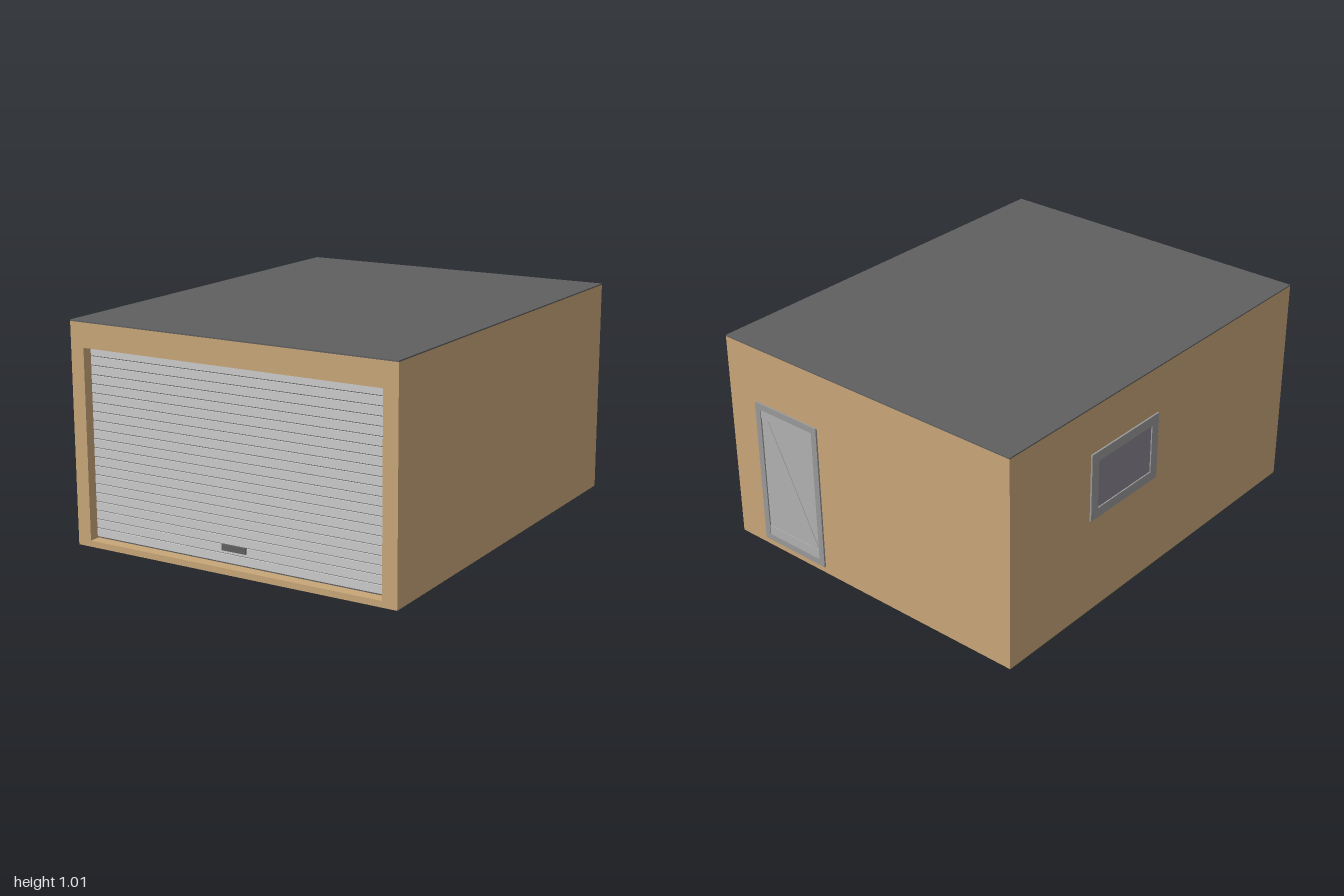
import * as THREE from 'three';

const material = (color) => new THREE.MeshStandardMaterial({ color });

export function createModel() {
  const garage = new THREE.Group();
  garage.name = 'garage';

  const wallMat = material(0xc8a678);
  const roofMat = material(0x606060);
  const slatMat = material(0xc0c0c0);
  const darkMat = material(0x606060);
  const frameMat = material(0x999999);
  const panelMat = material(0xb0b0b0);
  const glassMat = material(0x88858f);

  // Box given by its lower and upper corner
  const box = (parent, name, mat, [x0, y0, z0], [x1, y1, z1]) => {
    const mesh = new THREE.Mesh(new THREE.BoxGeometry(x1 - x0, y1 - y0, z1 - z0), mat);
    mesh.position.set((x0 + x1) / 2, (y0 + y1) / 2, (z0 + z1) / 2);
    mesh.name = name;
    parent.add(mesh);
    return mesh;
  };

  const rect = (path, x0, y0, x1, y1) =>
    path.moveTo(x0, y0).lineTo(x1, y0).lineTo(x1, y1).lineTo(x0, y1).closePath();

  // Rectangular frame in the xy plane, extruded along +z
  const frame = (parent, name, mat, outer, inner, depth) => {
    const shape = new THREE.Shape();
    rect(shape, ...outer);
    const hole = new THREE.Path();
    rect(hole, ...inner);
    shape.holes.push(hole);
    const geometry = new THREE.ExtrudeGeometry(shape, { depth, bevelEnabled: false });
    const mesh = new THREE.Mesh(geometry, mat);
    mesh.name = name;
    parent.add(mesh);
    return mesh;
  };

  // Walls: main body plus a front wall with the shutter opening
  const L = -0.797, R = 0.802, base = 0.008, top = 1.007, back = -0.992;
  box(garage, 'body', wallMat, [L, base, back], [R, top, 0.935]);
  frame(garage, 'frontWall', wallMat, [L, base, R, top], [-0.73, 0.036, 0.733, 0.897], 0.065)
    .position.z = 0.935;

  // Flat roof
  box(garage, 'roof', roofMat, [L, top, back], [R, 1.013, 1]);

  // Roller shutter: dark backing, horizontal slats, bottom seal and handle
  const shutter = new THREE.Group();
  shutter.name = 'rollerShutter';
  garage.add(shutter);
  box(shutter, 'shutterBacking', darkMat, [-0.73, 0.036, 0.936], [0.733, 0.897, 0.946]);
  const slats = 21, pitch = 0.0406;
  for (let i = 0; i < slats; i++) {
    const y = 0.044 + i * pitch;
    box(shutter, 'slat', slatMat, [-0.73, y, 0.94], [0.733, y + pitch - 0.005, 0.953]);
  }
  box(shutter, 'bottomSeal', darkMat, [-0.73, 0, 0.945], [0.733, 0.02, 0.965]);
  box(shutter, 'handle', darkMat, [-0.06, 0.098, 0.95], [0.06, 0.125, 0.963]);

  // Rear door, modelled facing +z and turned to the back
  const door = new THREE.Group();
  door.name = 'rearDoor';
  door.position.set(0.453, 0.04, back);
  door.rotation.y = Math.PI;
  garage.add(door);
  const w = 0.187, h = 0.705;
  frame(door, 'doorFrame', frameMat, [-w, 0, w, h], [-w + 0.03, 0.03, w - 0.03, h - 0.03], 0.008);
  box(door, 'doorPanel', panelMat, [-w + 0.03, 0.03, -0.002], [w - 0.03, h - 0.03, 0.002]);
  box(door, 'topRail', panelMat, [-w + 0.03, h - 0.075, 0], [w - 0.03, h - 0.03, 0.005]);
  box(door, 'bottomRail', panelMat, [-w + 0.03, 0.03, 0], [w - 0.03, 0.075, 0.005]);
  const dx = 2 * w - 0.1, dy = h - 0.15;
  const brace = new THREE.Mesh(new THREE.BoxGeometry(0.04, Math.hypot(dx, dy), 0.005), panelMat);
  brace.name = 'diagonalBrace';
  brace.position.set(0, h / 2, 0.003);
  brace.rotation.z = Math.atan2(dx, dy);
  door.add(brace);

  // Side window, modelled facing +z and turned to -x
  const sideWindow = new THREE.Group();
  sideWindow.name = 'sideWindow';
  sideWindow.position.set(L, 0.63, -0.25);
  sideWindow.rotation.y = -Math.PI / 2;
  garage.add(sideWindow);
  frame(sideWindow, 'windowFrame', frameMat,
    [-0.23, -0.16, 0.23, 0.16], [-0.185, -0.115, 0.185, 0.115], 0.008);
  box(sideWindow, 'windowPane', glassMat, [-0.185, -0.115, -0.002], [0.185, 0.115, 0.002]);

  return garage;
}
